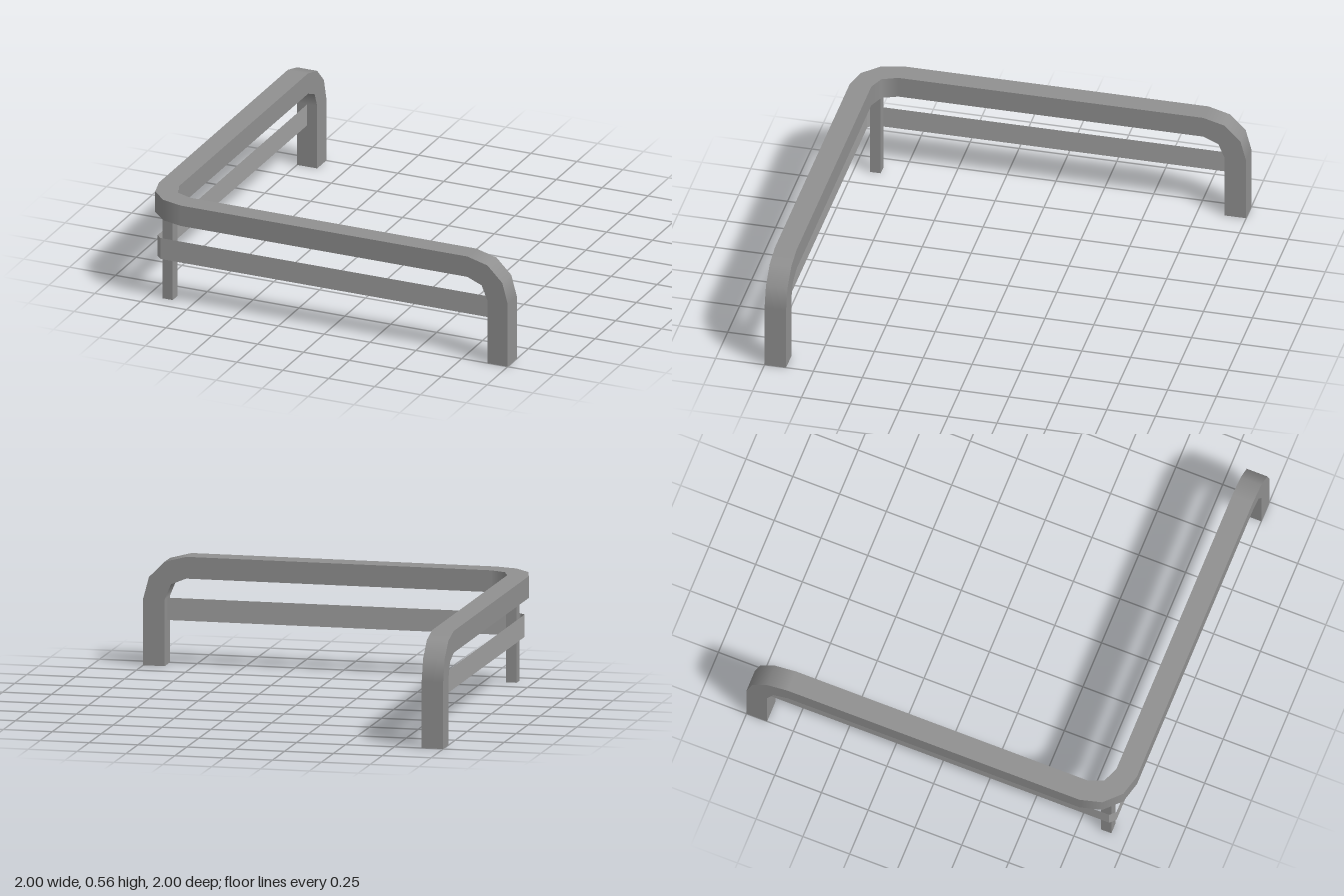
import * as THREE from 'three';

const W = 0.11;    // rail thickness
const R = 0.22;    // outer bend radius
const H = 0.557;   // total height
const C = 1 - R;   // bend centre distance from the middle

const railMaterial = new THREE.MeshStandardMaterial({ color: 0x909090 });
const barMaterial = new THREE.MeshStandardMaterial({ color: 0xa0a0a0, side: THREE.DoubleSide });

// Points on a faceted arc
function arc(cx, cy, r, from, to, segments) {
  return Array.from({ length: segments + 1 }, (_, i) => {
    const a = from + ((to - from) * i) / segments;
    return new THREE.Vector2(cx + r * Math.cos(a), cy + r * Math.sin(a));
  });
}

// Outline of a quarter bend: three facets outside, two inside
function bend(cx, cy, from, to) {
  return {
    outer: arc(cx, cy, R, from, to, 3),
    inner: arc(cx, cy, R - W, to, from, 2),
  };
}

// Extrude an outline and shade its bend smoothly around the centre (cx, cy)
function extrudeBend(points, cx, cy) {
  const geometry = new THREE.ExtrudeGeometry(new THREE.Shape(points), { depth: W, bevelEnabled: false });
  const { position, normal } = geometry.attributes;
  const radial = new THREE.Vector3();
  const face = new THREE.Vector3();
  for (let i = 0; i < position.count; i++) {
    radial.set(position.getX(i) - cx, position.getY(i) - cy, 0);
    if (radial.length() > R + 0.01) continue;
    const facing = radial.normalize().dot(face.fromBufferAttribute(normal, i));
    if (Math.abs(facing) < 0.5) continue;
    radial.multiplyScalar(Math.sign(facing));
    normal.setXYZ(i, radial.x, radial.y, 0);
  }
  return geometry;
}

function addMesh(parent, name, geometry, material) {
  const mesh = new THREE.Mesh(geometry, material);
  mesh.name = name;
  parent.add(mesh);
  return mesh;
}

// Thin upright strip between two floor points, facing outward
function addStrip(parent, name, [x1, z1], [x2, z2]) {
  const length = Math.hypot(x2 - x1, z2 - z1);
  const strip = addMesh(parent, name, new THREE.PlaneGeometry(length, 0.113), barMaterial);
  strip.position.set((x1 + x2) / 2, 0.28, (z1 + z2) / 2);
  strip.rotation.y = Math.atan2(z1 - z2, x2 - x1);
}

export function createModel() {
  const group = new THREE.Group();
  group.name = 'cornerRailing';

  // Straight top rail curving down into an end leg
  const b = bend(C, H - R, 0, Math.PI / 2);
  const armGeometry = extrudeBend([
    new THREE.Vector2(1, 0),
    ...b.outer,
    new THREE.Vector2(-C, H),
    new THREE.Vector2(-C, H - W),
    ...b.inner,
    new THREE.Vector2(1 - W, 0),
  ], C, H - R);
  addMesh(group, 'frontRailAndLeg', armGeometry, railMaterial).position.z = 1 - W;
  const side = addMesh(group, 'sideRailAndLeg', armGeometry, railMaterial);
  side.rotation.y = Math.PI / 2;
  side.position.x = -1;

  // Horizontal bend joining the two rails
  const c = bend(-C, C, Math.PI / 2, Math.PI);
  const corner = addMesh(group, 'cornerBend', extrudeBend([...c.outer, ...c.inner], -C, C), railMaterial);
  corner.rotation.x = Math.PI / 2;
  corner.position.y = H;

  // Slim post beneath the corner
  const post = addMesh(group, 'cornerPost', new THREE.BoxGeometry(0.055, H - W, 0.055), railMaterial);
  post.position.set(-0.89, (H - W) / 2, 0.89);

  // Lower bar: a flat strip outside the post with a chamfered corner
  const path = [[-0.945, W - 1], [-0.945, 0.917], [-0.917, 0.945], [1 - W, 0.945]];
  ['sideLowerBar', 'cornerLowerBar', 'frontLowerBar'].forEach((name, i) => {
    addStrip(group, name, path[i], path[i + 1]);
  });

  return group;
}
